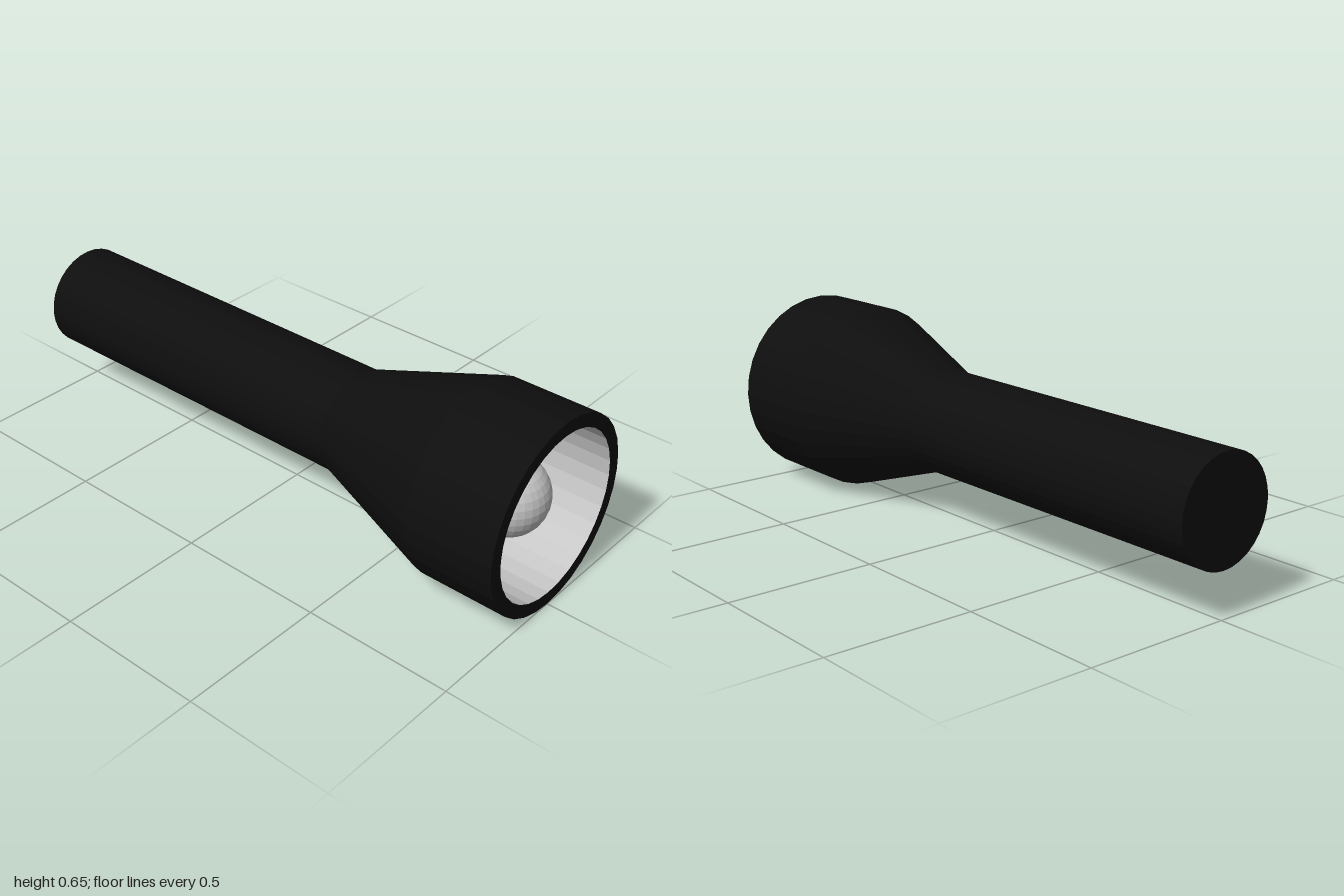
import * as THREE from 'three';

const SIDES = 32;
const AXIS_Y = 0.323;

export function createModel() {
  const black = new THREE.MeshStandardMaterial({ color: 0x0e0e0e, flatShading: true });
  black.name = 'black casing';
  const silver = new THREE.MeshStandardMaterial({ color: 0xc6c6c6, flatShading: true });
  silver.name = 'silver';

  const torch = new THREE.Group();
  torch.name = 'flashlight';

  // Turned part: profile of [radius, z] points spun around the long axis
  function turned(name, profile, material) {
    const points = profile.map(([r, z]) => new THREE.Vector2(r, z));
    const geometry = new THREE.LatheGeometry(points, SIDES).rotateX(Math.PI / 2);
    const mesh = new THREE.Mesh(geometry, material);
    mesh.name = name;
    mesh.position.y = AXIS_Y;
    torch.add(mesh);
  }

  // Handle with closed rear end and a front plate behind the reflector
  turned('handle', [[0, -1], [0.175, -1], [0.175, 0.25], [0, 0.25]], black);

  // Flared head, straight collar and front rim
  turned('head', [[0.175, 0.25], [0.323, 0.7], [0.323, 1], [0.278, 1]], black);

  // Silver lining: straight tube, then a cone narrowing to the handle
  turned('reflector', [[0.278, 1], [0.278, 0.7], [0.175, 0.25]], silver);

  // Round bulb
  const bulb = new THREE.Mesh(new THREE.SphereGeometry(0.129, 32, 16), silver);
  bulb.name = 'bulb';
  bulb.position.set(0, AXIS_Y, 0.83);
  torch.add(bulb);

  return torch;
}
